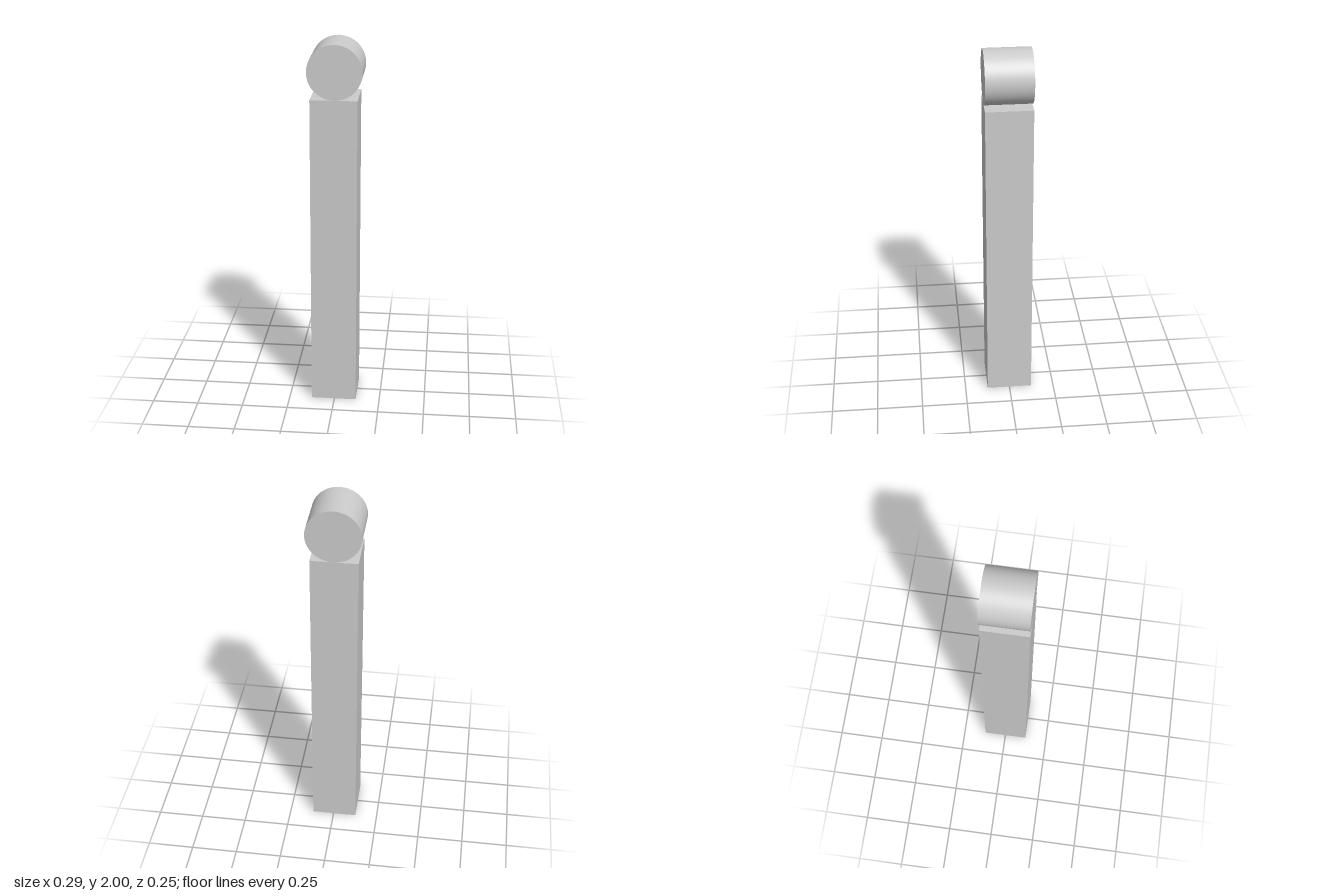
import * as THREE from 'three';

export function createModel() {
  const model = new THREE.Group();
  const material = new THREE.MeshStandardMaterial({ color: 0xcccccc });
  const radius = 0.143, depth = 0.248, postHeight = 2 - 2 * radius;

  // Square post, set a hair to the right of the roller's axis
  const post = new THREE.Mesh(new THREE.BoxGeometry(0.246, postHeight, depth), material);
  post.name = 'post';
  post.position.set(-0.004, postHeight / 2, 0);
  model.add(post);

  // Round roller lying front to back on top of the post
  const roller = new THREE.Mesh(
    new THREE.CylinderGeometry(radius, radius, depth, 64).rotateX(Math.PI / 2),
    material
  );
  roller.name = 'roller';
  roller.position.y = 2 - radius;
  model.add(roller);

  return model;
}
